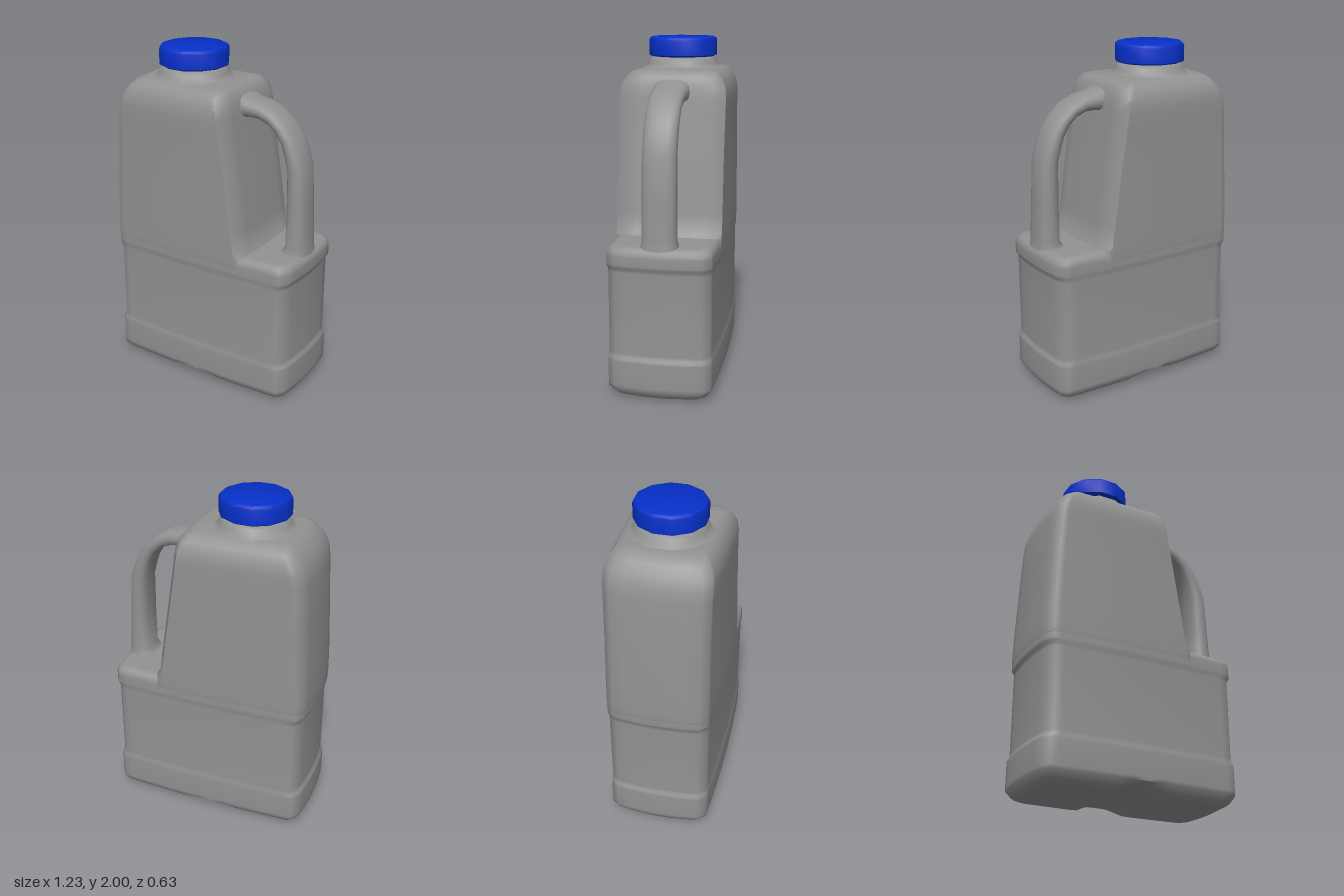
import * as THREE from 'three';
import { toCreasedNormals } from 'three/addons/utils/BufferGeometryUtils.js';

const plastic = new THREE.MeshStandardMaterial({ color: 0x929292 });
const blue = new THREE.MeshStandardMaterial({ color: 0x0630c8 });

// Skin a stack of closed rings (arrays of Vector3, counter-clockwise around the path)
function loft(rings, crease) {
  const n = rings[0].length, index = [];
  for (let i = 0; i < rings.length - 1; i++) {
    for (let j = 0; j < n; j++) {
      const a = i * n + j, b = i * n + (j + 1) % n;
      index.push(a, b, b + n, a, b + n, a + n);
    }
  }
  const geo = new THREE.BufferGeometry().setFromPoints(rings.flat());
  geo.setIndex(index);
  return toCreasedNormals(geo, crease);
}

// Bulged rectangle with cut corners; bl and br are the bulges of the left-hand and right-hand ends
function section([y, x0, x1, hz], corner, bl, br) {
  const pts = [], N = 24, M = 8;
  const xa = x0 + bl + corner, xb = x1 - br - corner;
  const side = (s) => {
    for (let i = 0; i <= N; i++) {
      const x = s > 0 ? xa + (xb - xa) * i / N : xa + (xb - xa) * (N - i) / N;
      pts.push(new THREE.Vector3(x, y, s * hz * (1 - 0.06 * (x / 0.56) ** 2)));
    }
  };
  const end = (x, bulge, s) => {
    for (let i = 0; i <= M; i++) {
      const v = 1 - 2 * i / M;
      pts.push(new THREE.Vector3(x - bulge * v * v, y, s * v * hz * 0.8));
    }
  };
  side(1);
  end(x1, br, 1);
  side(-1);
  end(x0, -bl, -1);
  return pts;
}

function mesh(name, geo, material) {
  const m = new THREE.Mesh(geo, material);
  m.name = name;
  return m;
}

export function createModel() {
  const group = new THREE.Group();

  // Lower tank: [y, half length, half depth], with slightly raised bands at foot and shoulder
  const lower = [
    [0.005, 0.54, 0], [0.005, 0.555, 0.23], [0.02, 0.59, 0.275], [0.06, 0.615, 0.311], [0.08, 0.616, 0.313],
    [0.225, 0.616, 0.313], [0.238, 0.615, 0.312], [0.252, 0.603, 0.308], [0.27, 0.602, 0.307],
    [0.745, 0.602, 0.307], [0.763, 0.603, 0.308], [0.778, 0.615, 0.312], [0.79, 0.616, 0.3125],
    [0.84, 0.616, 0.3125], [0.857, 0.614, 0.311], [0.878, 0.602, 0.298], [0.889, 0.58, 0.275],
    [0.89, 0.555, 0.25], [0.89, 0.54, 0],
  ].map(([y, x, z]) => section([y, -x, x, z], 0.035, 0.02, 0.02));
  // Shallow channel across the underside
  for (const p of lower.flat()) {
    if (p.y > 0.05) continue;
    const k = THREE.MathUtils.smoothstep(0.16 - Math.abs(p.x + 0.025), 0, 0.11);
    p.y += 0.033 * k * (1 - p.y / 0.06);
    if (p.y < 0.01) p.y -= 0.005 * (1 - k);
  }
  group.add(mesh('lowerBody', loft(lower, 1), plastic));

  // Tapered upper tank: [y, x min, x max, half depth]
  const upper = [
    [0.79, -0.608, 0.345, 0.308], [0.825, -0.616, 0.34, 0.3125], [0.84, -0.617, 0.338, 0.3135],
    [0.885, -0.617, 0.332, 0.3135], [0.91, -0.616, 0.308, 0.3135], [1.02, -0.613, 0.292, 0.313],
    [1.35, -0.597, 0.243, 0.309], [1.6, -0.583, 0.204, 0.309], [1.67, -0.573, 0.195, 0.31],
    [1.73, -0.548, 0.185, 0.303], [1.78, -0.51, 0.168, 0.278], [1.81, -0.475, 0.145, 0.247],
    [1.82, -0.44, 0.11, 0.215], [1.822, -0.41, 0.09, 0],
  ].map((r) => section(r, 0.035, 0.02, 0.006));
  group.add(mesh('upperBody', loft(upper, 1), plastic));

  // Handle: [outer x, outer y, inner x, inner y, half width]
  const handle = [
    [0.605, 0.87, 0.43, 0.87, 0.112], [0.6, 0.895, 0.445, 0.895, 0.105], [0.597, 0.93, 0.465, 0.92, 0.1],
    [0.585, 1.15, 0.467, 1.15, 0.098], [0.57, 1.4, 0.465, 1.38, 0.097], [0.54, 1.49, 0.447, 1.45, 0.097],
    [0.505, 1.57, 0.425, 1.52, 0.097], [0.45, 1.64, 0.39, 1.58, 0.097], [0.38, 1.7, 0.345, 1.62, 0.097],
    [0.3, 1.735, 0.285, 1.643, 0.099], [0.22, 1.752, 0.21, 1.645, 0.103], [0.17, 1.772, 0.17, 1.63, 0.11],
    [0.1, 1.78, 0.1, 1.63, 0.11],
  ].map(([ox, oy, ix, iy, w]) => {
    const ring = [], soft = (v) => Math.sign(v) * Math.abs(v) ** 0.7;
    for (let i = 0; i < 16; i++) {
      const a = (i / 16) * Math.PI * 2, c = soft(Math.cos(a)) / 2, s = soft(Math.sin(a));
      ring.push(new THREE.Vector3((ox + ix) / 2 + (ox - ix) * c, (oy + iy) / 2 + (oy - iy) * c, -w * s));
    }
    return ring;
  });
  group.add(mesh('handle', loft(handle, 1.2), plastic));

  // Neck and twelve-sided screw cap
  const turned = (name, profile, crease, material) => {
    const pts = profile.map(([r, y]) => new THREE.Vector2(r, y));
    const geo = toCreasedNormals(new THREE.LatheGeometry(pts, 12, Math.PI / 12), crease);
    const m = mesh(name, geo, material);
    m.position.x = -0.193;
    group.add(m);
  };
  turned('neck', [[0.24, 1.816], [0.222, 1.826], [0.206, 1.842], [0.198, 1.865], [0.185, 1.876], [0.17, 1.88], [0.17, 1.9]], 1, plastic);
  turned('cap', [[0, 1.884], [0.19, 1.884], [0.204, 1.892], [0.204, 1.978], [0.199, 1.992], [0.184, 2], [0, 2]], 0.75, blue);

  return group;
}
